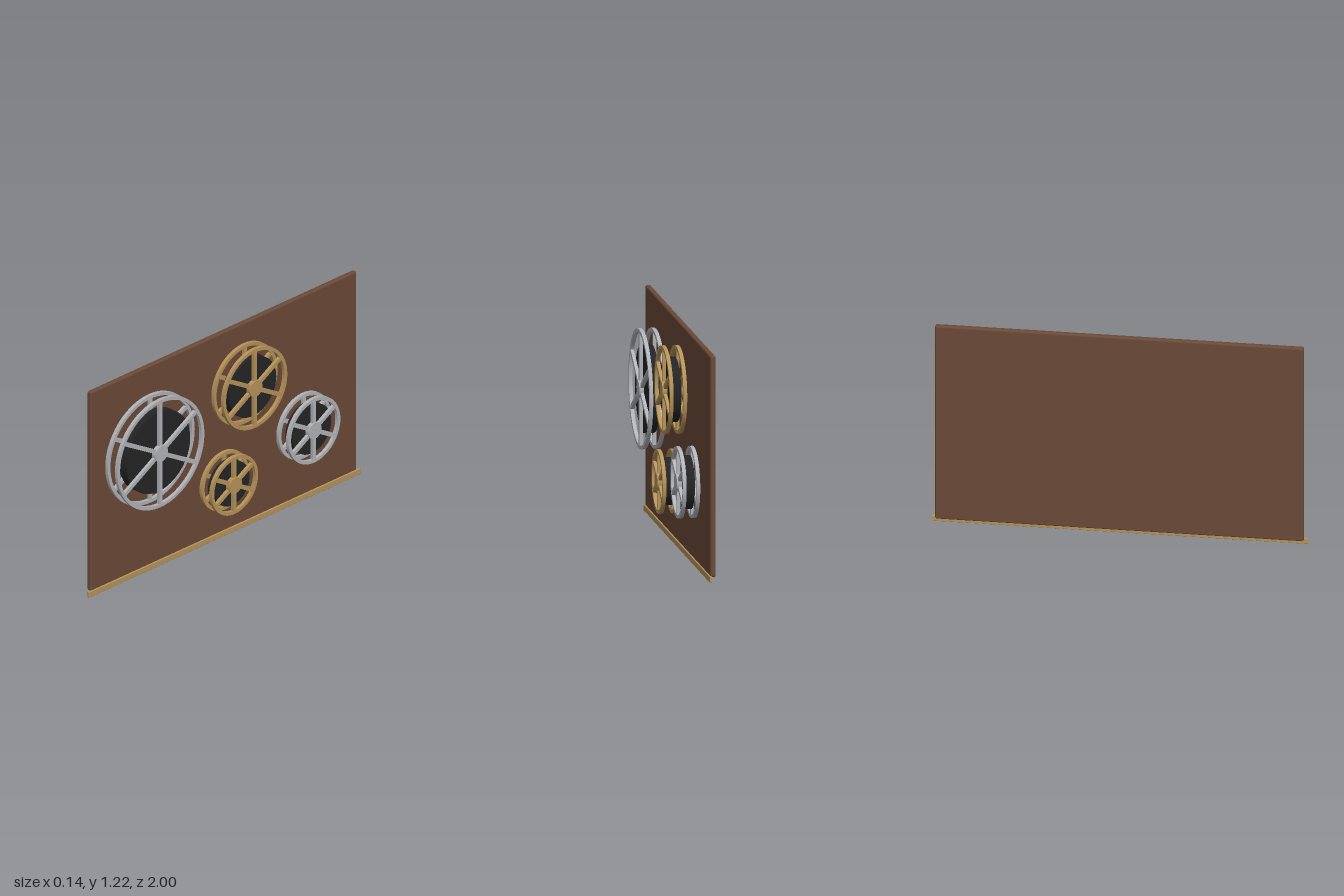
import * as THREE from 'three';
import { RoundedBoxGeometry } from 'three/addons/geometries/RoundedBoxGeometry.js';
import { toCreasedNormals } from 'three/addons/utils/BufferGeometryUtils.js';

const material = (name, color) => {
  const m = new THREE.MeshStandardMaterial({ color });
  m.name = name;
  return m;
};

function add(parent, name, geometry, mat, x = 0, y = 0, z = 0) {
  const mesh = new THREE.Mesh(geometry, mat);
  mesh.name = name;
  mesh.position.set(x, y, z);
  parent.add(mesh);
  return mesh;
}

// Disc with its axis along x, spanning x0..x1
function disc(radius, x0, x1, segments) {
  return new THREE.CylinderGeometry(radius, radius, x1 - x0, segments)
    .rotateZ(Math.PI / 2).translate((x0 + x1) / 2, 0, 0);
}

// Square-section ring with its axis along x
function ring(radius, section, width) {
  const r0 = radius - section, r1 = radius, h = width / 2;
  const profile = [[r0, -h], [r1, -h], [r1, h], [r0, h], [r0, -h]]
    .map(([r, y]) => new THREE.Vector2(r, y));
  return toCreasedNormals(new THREE.LatheGeometry(profile, 64), 0.6).rotateZ(-Math.PI / 2);
}

// Reel: wound core, through hub and two six-spoked flanges
function createReel(name, radius, coreRadius, metal, black) {
  const reel = new THREE.Group();
  reel.name = name;
  add(reel, 'core', disc(coreRadius, -0.008, 0.045, 64), black);
  add(reel, 'hub', disc(0.047, -0.042, 0.071, 32), metal);
  for (const x of [-0.018, 0.055]) {
    const flange = new THREE.Group();
    flange.name = x < 0 ? 'backFlange' : 'frontFlange';
    flange.position.x = x;
    add(flange, 'rim', ring(radius, 0.019, 0.02), metal);
    for (let i = 0; i < 6; i++) {
      const spoke = new THREE.BoxGeometry(0.018, radius - 0.01, 0.022)
        .translate(0, (radius - 0.01) / 2, 0);
      add(flange, 'spoke', spoke, metal).rotation.x = i * Math.PI / 3;
    }
    reel.add(flange);
  }
  return reel;
}

export function createModel() {
  const model = new THREE.Group();
  model.name = 'reelWallPanel';
  const brown = material('brown', 0x6b4a38);
  const gold = material('gold', 0xb5935a);
  const silver = material('silver', 0xb0b3b7);
  const black = material('black', 0x242424);

  // Backing panel and the trim strip along its lower edge
  add(model, 'panel', new RoundedBoxGeometry(0.03, 1.19, 1.96, 3, 0.01), brown, -0.057, 0.622, 0);
  add(model, 'trim', new RoundedBoxGeometry(0.013, 0.034, 2, 2, 0.004), gold, -0.0415, 0.017, 0);

  // Reels: name, y, z, rim radius, core radius, metal
  const reels = [
    ['largeSilverReel', 0.742, 0.568, 0.32, 0.235, silver],
    ['largeGoldReel', 0.873, -0.128, 0.235, 0.173, gold],
    ['smallSilverReel', 0.46, -0.563, 0.191, 0.143, silver],
    ['smallGoldReel', 0.35, 0.023, 0.171, 0.127, gold],
  ];
  for (const [name, y, z, radius, core, metal] of reels) {
    const reel = createReel(name, radius, core, metal, black);
    reel.position.set(0, y, z);
    model.add(reel);
  }
  return model;
}
